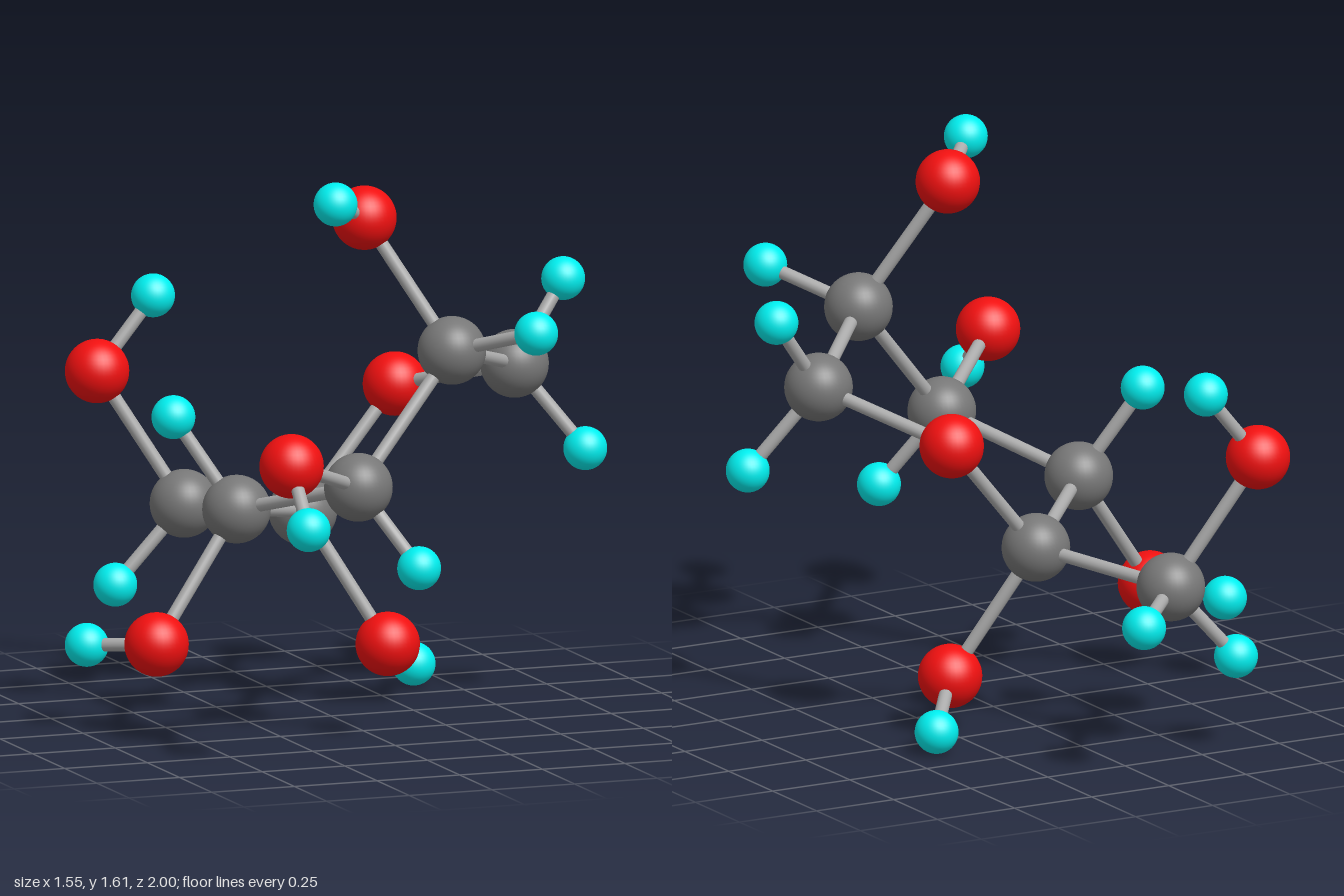
import * as THREE from 'three';

// Atom kinds: radius and colour
const KINDS = {
  carbon: { radius: 0.097, color: 0x777777 },
  oxygen: { radius: 0.091, color: 0xf01010 },
  hydrogen: { radius: 0.062, color: 0x00eeee },
};

// Centres of the atoms, by kind
const ATOMS = {
  carbon: {
    C1: [-0.16, 0.5, -0.73], C2: [0.03, 0.54, -0.295], C3: [-0.305, 0.625, 0.05],
    C4: [-0.1, 0.745, 0.47], C5: [0.21, 1.105, 0.4], C6: [0.53, 0.99, 0.065],
  },
  oxygen: {
    O1: [-0.38, 0.875, -0.84], O2: [0.24, 0.165, -0.175], O3: [-0.57, 0.265, 0.11],
    O4: [-0.415, 0.875, 0.76], O5: [0, 1.475, 0.26], O6: [0.32, 0.88, -0.325],
  },
  hydrogen: {
    H1: [-0.36, 0.277, -0.75], H2: [0.045, 0.455, -0.938], H3: [-0.46, 0.883, -0.042],
    H4: [0.04, 0.523, 0.582], H5: [0.363, 1.187, 0.662], H6: [0.7, 1.213, 0.006],
    H7: [0.71, 0.75, 0.152],
    HO1: [-0.21, 1.08, -0.842], HO2: [0.393, 0.066, -0.367], HO3: [-0.712, 0.243, -0.068],
    HO4: [-0.432, 0.723, 0.936], HO5: [-0.15, 1.55, 0.421],
  },
};

// Which atoms are joined
const BONDS = [
  'C1-C2', 'C2-C3', 'C3-C4', 'C4-C5', 'C5-C6', 'C6-O6', 'O6-C2', // ring and its arm
  'C1-O1', 'C2-O2', 'C3-O3', 'C4-O4', 'C5-O5',
  'O1-HO1', 'O2-HO2', 'O3-HO3', 'O4-HO4', 'O5-HO5',
  'C1-H1', 'C1-H2', 'C3-H3', 'C4-H4', 'C5-H5', 'C6-H6', 'C6-H7',
];
const BOND_RADIUS = 0.019;

export function createModel() {
  const model = new THREE.Group();
  model.name = 'molecule';
  const centres = {};

  // Atoms: one smooth ball each
  for (const [kind, list] of Object.entries(ATOMS)) {
    const { radius, color } = KINDS[kind];
    const geometry = new THREE.SphereGeometry(radius, 40, 24);
    const material = new THREE.MeshStandardMaterial({ color });
    const group = new THREE.Group();
    group.name = `${kind}Atoms`;
    for (const [id, position] of Object.entries(list)) {
      const ball = new THREE.Mesh(geometry, material);
      ball.name = `${kind}Atom${id}`;
      ball.position.set(...position);
      centres[id] = ball.position;
      group.add(ball);
    }
    model.add(group);
  }

  // Bonds: rods from centre to centre
  const bonds = new THREE.Group();
  bonds.name = 'bonds';
  const rodMaterial = new THREE.MeshStandardMaterial({ color: 0xaaaaaa });
  const up = new THREE.Vector3(0, 1, 0);
  for (const bond of BONDS) {
    const [a, b] = bond.split('-').map((id) => centres[id]);
    const along = b.clone().sub(a);
    const rod = new THREE.Mesh(
      new THREE.CylinderGeometry(BOND_RADIUS, BOND_RADIUS, along.length(), 20), rodMaterial);
    rod.name = `bond ${bond}`;
    rod.position.copy(a).add(b).multiplyScalar(0.5);
    rod.quaternion.setFromUnitVectors(up, along.normalize());
    bonds.add(rod);
  }
  model.add(bonds);
  return model;
}
